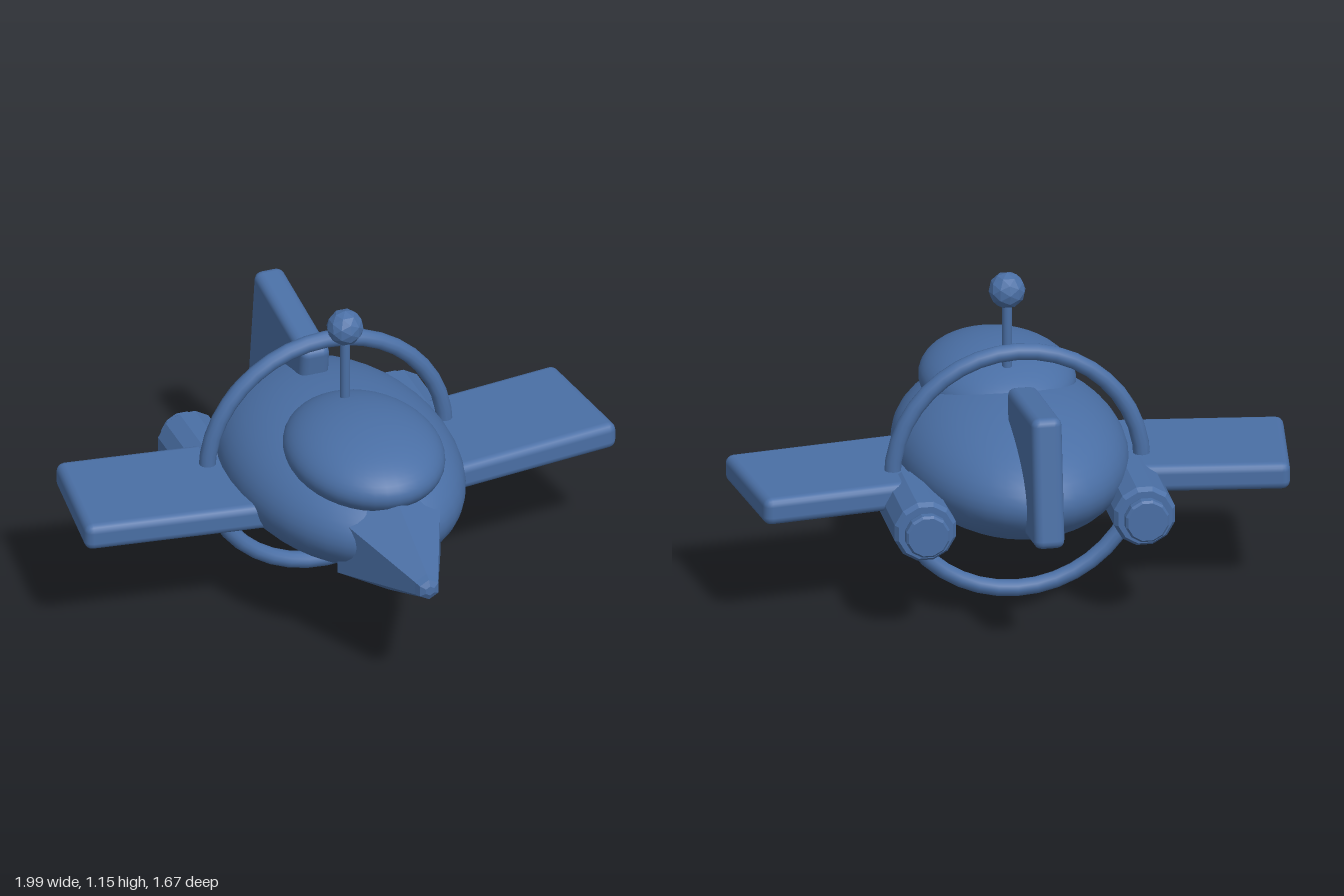
import * as THREE from 'three';
import { RoundedBoxGeometry } from 'three/addons/geometries/RoundedBoxGeometry.js';

export function createModel() {
  const model = new THREE.Group();
  model.name = 'toyAircraft';
  const smooth = new THREE.MeshStandardMaterial({ color: 0x4a6fa5 });
  const faceted = new THREE.MeshStandardMaterial({ color: 0x4a6fa5, flatShading: true });

  function add(name, geometry, material, x, y, z) {
    const mesh = new THREE.Mesh(geometry, material);
    mesh.name = name;
    mesh.position.set(x, y, z);
    model.add(mesh);
    return mesh;
  }
  const ellipsoid = (rx, ry, rz) => new THREE.SphereGeometry(1, 40, 28).scale(rx, ry, rz);

  // Solid turned around the z axis; profile is [radius, z] from back to front
  function turned(profile, sides, startAngle = 0) {
    const points = profile.map(([r, z]) => new THREE.Vector2(r, z));
    return new THREE.LatheGeometry(points, sides, startAngle).rotateX(Math.PI / 2);
  }

  // Fuselage and canopy
  add('fuselage', ellipsoid(0.41, 0.242, 0.627), smooth, 0, 0.515, -0.057);
  add('canopy', ellipsoid(0.275, 0.137, 0.358), smooth, 0, 0.69, 0.18);

  // Six-sided nose with a blunt tip, corner pointing down
  add('noseCone', turned([
    [0, 0.413], [0.215, 0.413], [0.224, 0.428], [0.05, 0.8], [0.04, 0.825], [0.018, 0.836], [0, 0.836],
  ], 6), faceted, 0, 0.483, 0);

  // Hoop around the fuselage
  add('hoop', new THREE.TorusGeometry(0.447, 0.03, 12, 40), smooth, 0, 0.487, -0.196);

  // Antenna
  add('antennaRod', new THREE.CylinderGeometry(0.018, 0.018, 0.36, 12), smooth, 0, 0.88, -0.005);
  add('antennaBall', new THREE.IcosahedronGeometry(0.066, 1), faceted, 0, 1.092, -0.005);

  // Tail fin, leaning
  const fin = add('tailFin', new RoundedBoxGeometry(0.11, 0.475, 0.5, 2, 0.03), smooth, 0, 0.637, -0.558);
  fin.rotation.x = 0.135;

  for (const side of [1, -1]) {
    const label = side > 0 ? 'left' : 'right';
    // Swept wing
    const wing = add(label + 'Wing', new RoundedBoxGeometry(0.8, 0.1, 0.475, 2, 0.03), smooth,
      side * 0.573, 0.47, -0.118);
    wing.rotation.y = side * 0.13;

    // Engine with a stepped nozzle
    add(label + 'Engine', turned([
      [0, -0.552], [0.1, -0.552], [0.113, -0.535], [0.113, -0.24], [0.1, -0.222], [0, -0.222],
    ], 12, Math.PI / 12), faceted, side * 0.392, 0.418, 0);
    add(label + 'Nozzle', turned([
      [0, -0.598], [0.072, -0.598], [0.08, -0.59], [0.08, -0.565], [0.072, -0.54], [0, -0.54],
    ], 12, Math.PI / 12), faceted, side * 0.392, 0.418, 0);
  }
  return model;
}
